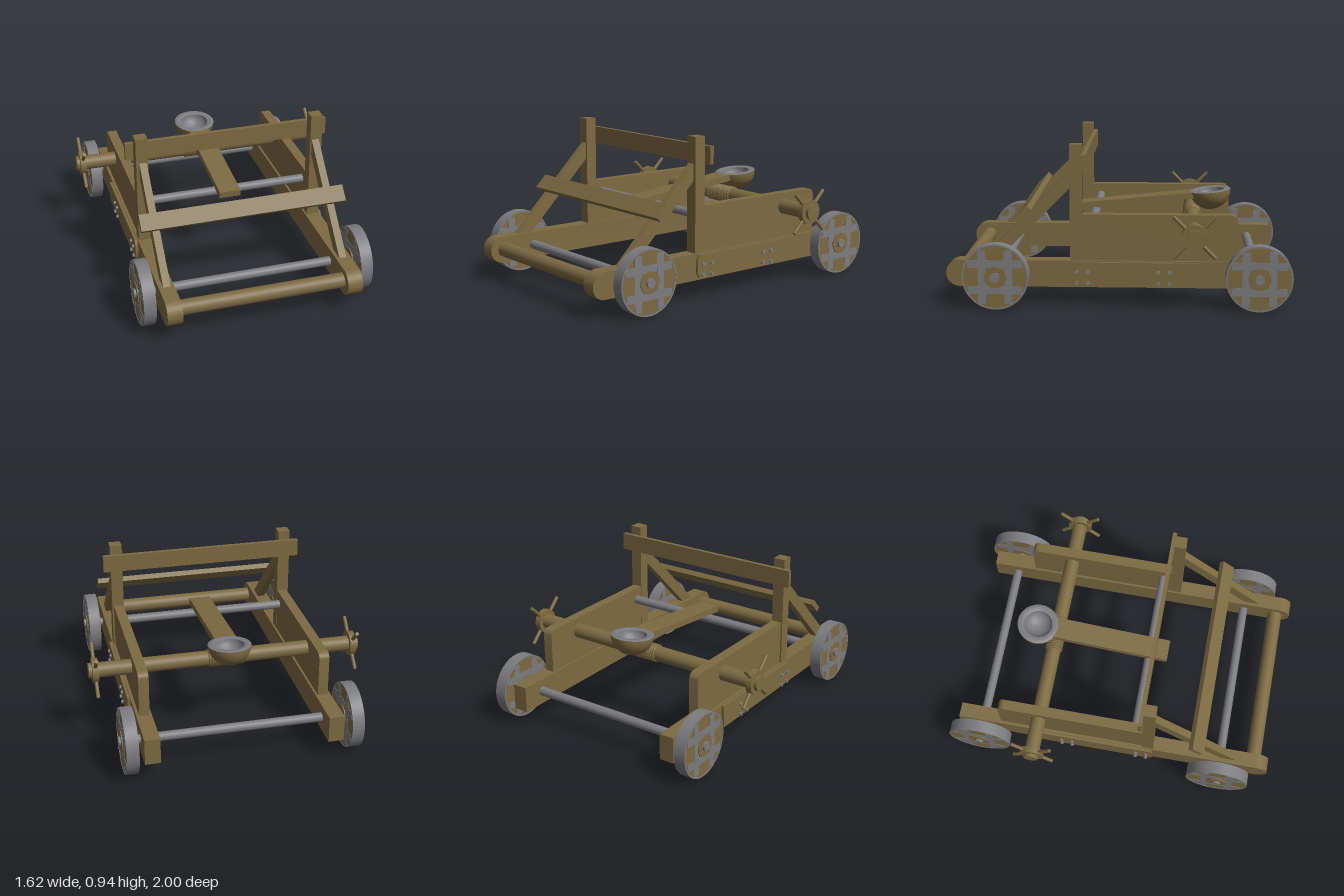
import * as THREE from 'three';
import { toCreasedNormals } from 'three/addons/utils/BufferGeometryUtils.js';

const wood = new THREE.MeshStandardMaterial({ color: 0x7d6a42 });
const metal = new THREE.MeshStandardMaterial({ color: 0x7c7c80 });
const bowlWood = new THREE.MeshStandardMaterial({ color: 0x7d6a42, side: THREE.DoubleSide });
const bowlMetal = new THREE.MeshStandardMaterial({ color: 0x7c7c80, side: THREE.DoubleSide });

export function createModel() {
  const model = new THREE.Group();
  model.name = 'catapult';

  function add(name, geometry, material, x = 0, y = 0, z = 0, parent = model) {
    const mesh = new THREE.Mesh(geometry, material);
    mesh.name = name;
    mesh.position.set(x, y, z);
    parent.add(mesh);
    return mesh;
  }
  const box = (w, h, d) => new THREE.BoxGeometry(w, h, d);
  // Cylinder lying along x
  const rod = (r, length, sides = 32) => new THREE.CylinderGeometry(r, r, length, sides).rotateZ(Math.PI / 2);
  // Profile drawn in (z, y), extruded along x and centred on it
  function plate(shape, width) {
    const g = new THREE.ExtrudeGeometry(shape, { depth: width, bevelEnabled: false, curveSegments: 16 });
    return toCreasedNormals(g.rotateY(-Math.PI / 2).translate(width / 2, 0, 0), 0.6);
  }
  const polygon = (points) => new THREE.Shape(points.map(([z, y]) => new THREE.Vector2(z, y)));

  // Side profiles
  const railShape = new THREE.Shape();
  railShape.moveTo(-0.95, 0.115);
  railShape.lineTo(0.922, 0.115);
  railShape.absarc(0.922, 0.193, 0.078, -Math.PI / 2, Math.PI / 2, false);
  railShape.lineTo(-0.95, 0.271);

  const panelShape = new THREE.Shape();
  panelShape.moveTo(-0.685, 0.26);
  panelShape.lineTo(0.215, 0.26);
  panelShape.lineTo(0.215, 0.54);
  panelShape.lineTo(-0.645, 0.54);
  panelShape.absarc(-0.645, 0.5, 0.04, Math.PI / 2, Math.PI, false);

  const plankShape = polygon([[-0.47, 0.13], [0.262, 0.13], [0.28, 0.16], [0.28, 0.235], [0.262, 0.265], [-0.47, 0.265]]);
  const braceShape = polygon([[0.27, 0.7], [0.7, 0.27], [0.8, 0.27], [0.27, 0.8]]);

  // Wooden wheel with iron tyre, crossed straps and hub on both faces
  function addWheel(side, z) {
    const wheel = new THREE.Group();
    wheel.name = 'wheel';
    wheel.position.set(side * 0.648, 0.196, z);
    model.add(wheel);
    add('wheelDisc', rod(0.186, 0.068, 48), wood, 0, 0, 0, wheel);
    const tyre = [[0.182, -0.036], [0.191, -0.036], [0.191, 0.036], [0.182, 0.036], [0.182, -0.036]]
      .map(([r, h]) => new THREE.Vector2(r, h));
    add('tyre', toCreasedNormals(new THREE.LatheGeometry(tyre, 48).rotateZ(Math.PI / 2), 0.5), metal, 0, 0, 0, wheel);
    for (const o of [-0.076, 0.076]) {
      add('uprightStrap', box(0.073, 0.316, 0.046), metal, 0, 0, o, wheel);
      add('levelStrap', box(0.0725, 0.046, 0.316), metal, 0, o, 0, wheel);
    }
    add('hub', rod(0.064, 0.084), wood, 0, 0, 0, wheel);
  }

  for (const side of [-1, 1]) {
    // Frame sides
    add('sideRail', plate(railShape, 0.09), wood, side * 0.532);
    add('sidePanel', plate(panelShape, 0.06), wood, side * 0.53);
    add('outerPlank', plate(plankShape, 0.018), wood, side * 0.585);
    add('post', box(0.072, 0.725, 0.07), wood, side * 0.534, 0.582, 0.245);
    add('brace', plate(braceShape, 0.044), wood, side * 0.529);
    // Bolts on the outer planks
    for (const z of [0.24, 0.175, -0.23, -0.295])
      for (const y of [0.145, 0.21])
        add('bolt', rod(0.011, 0.014, 12), metal, side * 0.599, y, z);

    addWheel(side, 0.7);
    addWheel(side, -0.805);

    // Winch handle: hub and four crossed spokes
    const handle = new THREE.Group();
    handle.name = 'winchHandle';
    handle.position.set(side * 0.772, 0.457, -0.432);
    model.add(handle);
    add('handleHub', rod(0.073, 0.036), wood, 0, 0, 0, handle);
    for (const angle of [Math.PI / 4, -Math.PI / 4])
      add('handleSpokes', new THREE.CylinderGeometry(0.011, 0.011, 0.335, 12), wood, 0, 0, 0, handle).rotation.x = angle;
  }

  // Axles and cross bars
  for (const z of [0.7, -0.805]) add('axle', rod(0.027, 1.405), metal, 0, 0.196, z);
  add('frontBar', rod(0.045, 1.0), wood, 0, 0.195, 0.907);
  add('pivotBar', rod(0.026, 1.02), metal, 0, 0.465, 0.16);
  add('winchDrum', rod(0.045, 1.62), wood, 0, 0.457, -0.432);
  add('topBeam', box(1.235, 0.105, 0.025), wood, 0, 0.838, 0.198);
  add('frontPlank', box(1.235, 0.1, 0.033), wood, 0, 0.55, 0.543).rotation.x = -Math.PI / 4;

  // Rope wound around the drum
  for (let i = 0; i < 14; i++)
    add('ropeCoil', new THREE.TorusGeometry(0.046, 0.008, 8, 32).rotateY(Math.PI / 2), wood, -0.098 + i * 0.0151, 0.457, -0.432);

  // Throwing arm, tilted up towards the back
  const tilt = 0.099;
  add('throwingArm', box(0.13, 0.04, 0.715), wood, 0, 0.529, -0.083).rotation.x = tilt;

  // Bowl: wooden shell with an iron rim and lining
  const bowl = new THREE.Group();
  bowl.name = 'bowl';
  bowl.position.set(0, 0.592, -0.541);
  bowl.rotation.x = tilt;
  model.add(bowl);
  const dome = (r, depth, n = 12) => Array.from({ length: n + 1 }, (_, i) => {
    const a = (i / n) * Math.PI / 2;
    return new THREE.Vector2(r * Math.sin(a), -depth * Math.cos(a));
  });
  add('bowlShell', new THREE.LatheGeometry(dome(0.127, 0.12), 40), bowlWood, 0, 0, 0, bowl);
  const lining = [...dome(0.085, 0.07), new THREE.Vector2(0.092, 0.004), new THREE.Vector2(0.12, 0.004), new THREE.Vector2(0.127, 0)];
  add('bowlLining', toCreasedNormals(new THREE.LatheGeometry(lining, 40), 0.6), bowlMetal, 0, 0, 0, bowl);

  return model;
}
